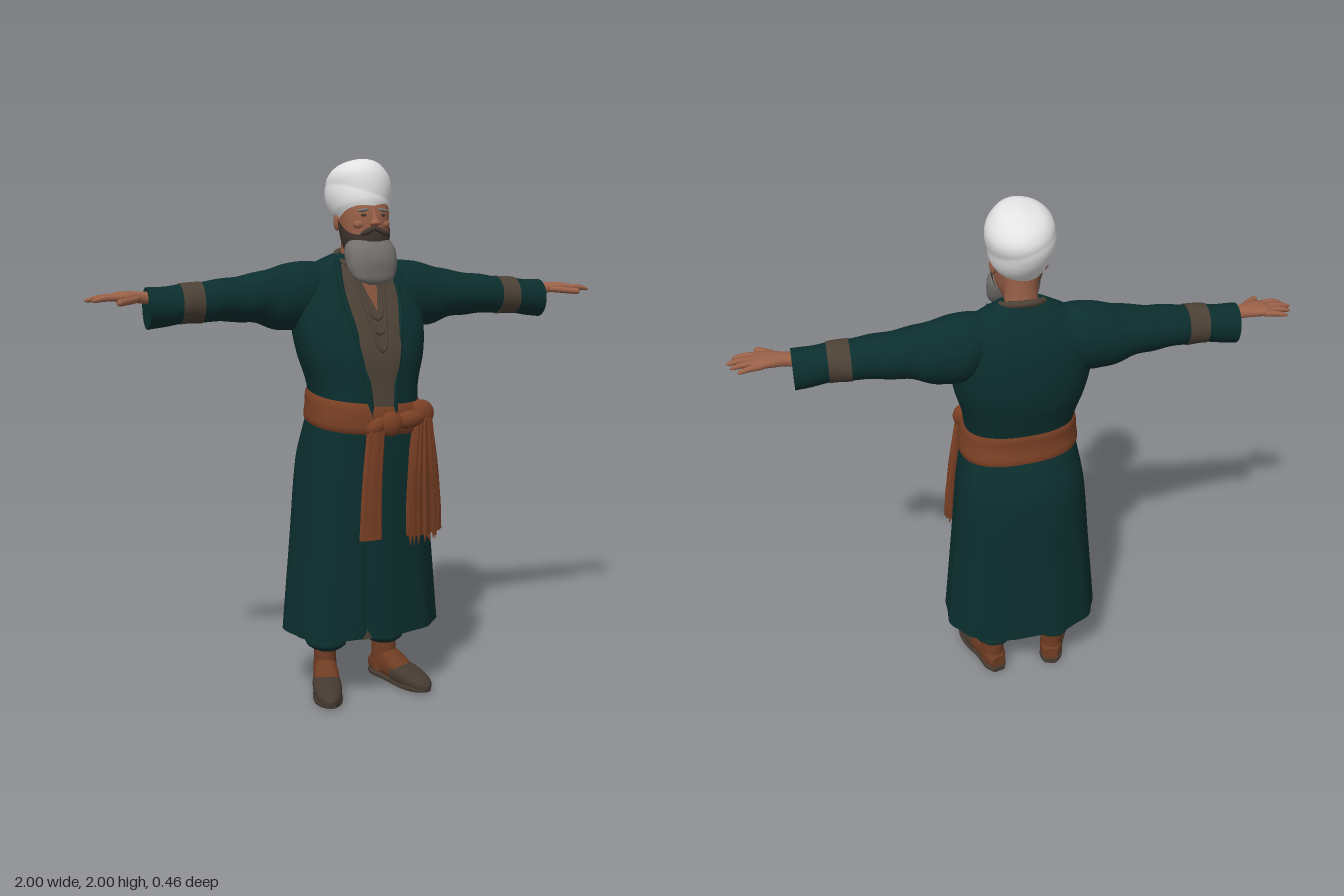
import * as THREE from 'three';

const mat = (name, color, side = THREE.FrontSide) => {
  const m = new THREE.MeshStandardMaterial({ color, side });
  m.name = name;
  return m;
};

// Smooth interpolation through rows [t, cX, cZ, rX, rZ]
function sample(rows, t) {
  let i = 0;
  while (i < rows.length - 2 && t > rows[i + 1][0]) i++;
  const A = rows[i], B = rows[i + 1], P = rows[i - 1] || A, N = rows[i + 2] || B;
  const h = B[0] - A[0], s = Math.min(1, Math.max(0, (t - A[0]) / h)), s2 = s * s, s3 = s2 * s;
  return A.map((a, k) => {
    const ma = (B[k] - P[k]) / (B[0] - P[0]) * h, mb = (N[k] - A[k]) / (N[0] - A[0]) * h;
    return (2 * s3 - 3 * s2 + 1) * a + (s3 - 2 * s2 + s) * ma + (3 * s2 - 2 * s3) * B[k] + (s3 - s2) * mb;
  });
}

// Closed skin over superellipse sections along axis y, x (X->z, Z->y) or z (X->y, Z->x)
function loft(rows, { n = 32, steps = 24, p = 2, axis = 'y', warp = null } = {}) {
  const pos = [], idx = [], t0 = rows[0][0], t1 = rows[rows.length - 1][0];
  const pw = v => Math.sign(v) * Math.abs(v) ** (2 / p);
  const put = (X, Y, Z) => pos.push(...(axis === 'y' ? [X, Y, Z] : axis === 'x' ? [Y, Z, X] : [Z, X, Y]));
  const ring = j => {
    const t = t0 + (t1 - t0) * j / steps, [, cx, cz, rx, rz] = sample(rows, t);
    for (let i = 0; i < n; i++) {
      const a = i / n * Math.PI * 2, k = warp ? warp(a, t) : 1;
      put(cx + Math.max(rx, 0) * k * pw(Math.sin(a)), t, cz + Math.max(rz, 0) * k * pw(Math.cos(a)));
    }
    return [cx, t, cz];
  };
  for (let j = 0; j <= steps; j++) ring(j);
  for (let j = 0; j < steps; j++) for (let i = 0; i < n; i++) {
    const a = j * n + i, b = j * n + (i + 1) % n;
    idx.push(a, b, a + n, b, b + n, a + n);
  }
  for (const j of [0, steps]) {
    const base = pos.length / 3;
    put(...ring(j));
    for (let i = 0; i < n; i++) {
      const a = base + i, b = base + (i + 1) % n;
      j ? idx.push(a, b, base + n) : idx.push(b, a, base + n);
    }
  }
  const g = new THREE.BufferGeometry();
  g.setAttribute('position', new THREE.Float32BufferAttribute(pos, 3));
  g.setIndex(idx);
  g.computeVertexNormals();
  return g;
}

export function createModel() {
  const model = new THREE.Group();
  const robe = mat('dark teal cloth', 0x0c2e2e), sash = mat('rust cloth', 0x793f24);
  const skin = mat('skin', 0x9a6148), white = mat('white cloth', 0xe2e2e2);
  const grey = mat('grey beard', 0x74716e), hair = mat('dark beard', 0x40362e, THREE.DoubleSide);
  const linen = mat('brown linen', 0x4c4136, THREE.DoubleSide);
  const leather = mat('boot leather', 0x6e3c23), sole = mat('shoe leather', 0x453a31);

  const add = (name, geo, m, parent = model) => {
    const mesh = new THREE.Mesh(geo, m);
    mesh.name = name;
    parent.add(mesh);
    return mesh;
  };
  const ball = (name, m, p, s, parent, rz = 0) => {
    const b = add(name, new THREE.SphereGeometry(1, 20, 14), m, parent);
    b.position.set(...p); b.scale.set(...s); b.rotation.z = rz;
    return b;
  };
  const tube = (name, pts, r, m, parent) => add(name, new THREE.TubeGeometry(
    new THREE.CatmullRomCurve3(pts.map(q => new THREE.Vector3(...q))), 32, r, 8), m, parent);

  // Robe: skirt, chest and shoulders in one skin
  const P = 2.4;
  const body = [
    [0.26, 0, -0.012, 0.3, 0.21], [0.6, 0, -0.01, 0.268, 0.21], [0.9, 0, -0.008, 0.24, 0.207],
    [1.03, 0, 0.01, 0.217, 0.187], [1.12, 0, 0.022, 0.2, 0.17], [1.2, 0, 0.012, 0.207, 0.173],
    [1.3, 0, -0.005, 0.235, 0.182], [1.4, 0, -0.027, 0.25, 0.168], [1.5, 0, -0.05, 0.245, 0.138],
    [1.57, 0, -0.062, 0.225, 0.108], [1.62, 0, -0.064, 0.17, 0.078], [1.66, 0, -0.06, 0.085, 0.055]];
  add('robe', loft(body, {
    n: 96, steps: 56, p: P,
    warp: (a, y) => 1 + Math.max(0, (1 - y) / 0.74) * 0.016 * Math.sin(11 * a + 2 * y),
  }), robe);
  const frontZ = (x, y) => {
    const [, , cz, rx, rz] = sample(body, y);
    return cz + rz * Math.max(0, 1 - Math.abs(x / rx) ** P) ** (1 / P);
  };

  // Linen shirt showing between the lapels
  const edges = [[1.08, -0.04, 0.05], [1.2, -0.05, 0.06], [1.4, -0.085, 0.1], [1.52, -0.1, 0.12], [1.635, -0.09, 0.1]];
  const shirt = new THREE.PlaneGeometry(1, 1, 14, 30), sp = shirt.attributes.position;
  for (let i = 0; i < sp.count; i++) {
    const y = 1.355 + sp.getY(i) * 0.54, [, l, r] = sample(edges, y), x = l + (r - l) * (sp.getX(i) + 0.5);
    sp.setXYZ(i, x, y, frontZ(x, y) + 0.007);
  }
  shirt.computeVertexNormals();
  add('shirtFront', shirt, linen);
  for (const k of [1, 2]) tube('lapel', edges.map(e => [e[k], e[0], frontZ(e[k], e[0]) + 0.002]), 0.011, robe);
  for (const [w, low] of [[0.035, 1.32], [0.05, 1.38], [0.045, 1.43]])
    tube('shirtDrape', [-1, -0.8, -0.4, 0, 0.4, 0.8, 1].map(u => {
      const x = u * w + 0.008, y = low + 0.17 * Math.abs(u) ** 2.5;
      return [x, y, frontZ(x, y) + 0.009];
    }), 0.007, linen);
  const vee = new THREE.Shape([[-0.025, 1.56], [0.012, 1.46], [0.035, 1.56]].map(q => new THREE.Vector2(...q)));
  const veeGeo = new THREE.ShapeGeometry(vee), vp = veeGeo.attributes.position;
  for (let i = 0; i < vp.count; i++) vp.setZ(i, frontZ(vp.getX(i), vp.getY(i)) + 0.013);
  add('chestSkin', veeGeo, skin);
  const collar = add('collar', new THREE.TorusGeometry(0.078, 0.013, 10, 36), linen);
  collar.position.set(0, 1.642, -0.035);
  collar.rotation.x = Math.PI / 2 + 0.4;

  // Overlapping front edge of the skirt, with a little lining at the hem
  tube('skirtEdge', [1.02, 0.8, 0.6, 0.4, 0.27].map(y => [-0.075, y, frontZ(-0.075, y) + 0.001]), 0.007, robe);
  const gap = add('hemLining', new THREE.CircleGeometry(0.024, 3, Math.PI / 2), linen);
  gap.position.set(-0.062, 0.276, 0.207);

  // Belt, following the waist and riding higher at the back
  const beltPts = [];
  const belt = loft([[-0.055, 0, 0, 1, 1], [-0.04, 0, 0, 1.04, 1.04], [0, 0, 0, 1.055, 1.055], [0.04, 0, 0, 1.04, 1.04], [0.055, 0, 0, 1, 1]],
    { n: 64, steps: 12, p: P });
  const bp = belt.attributes.position;
  for (let i = 0; i < bp.count; i++) {
    const y = 1.097 + bp.getY(i) - 0.02 * bp.getZ(i) - 0.012 * bp.getX(i);
    const [, , cz, rx, rz] = sample(body, y);
    bp.setXYZ(i, bp.getX(i) * (rx + 0.003), y, cz + bp.getZ(i) * (rz + 0.003));
  }
  belt.computeVertexNormals();
  add('belt', belt, sash);

  // Knot and the two hanging ends
  const knot = new THREE.Group();
  knot.name = 'knot';
  model.add(knot);
  ball('knotCentre', sash, [0.03, 1.06, 0.205], [0.045, 0.046, 0.028], knot);
  ball('knotLoop', sash, [0.105, 1.07, 0.195], [0.065, 0.033, 0.026], knot, 0.1);
  ball('knotLoop', sash, [0.17, 1.085, 0.165], [0.05, 0.05, 0.03], knot, 0.4);
  ball('knotFold', sash, [-0.025, 1.055, 0.2], [0.045, 0.03, 0.025], knot, 0.5);
  const pleat = (k, d) => a => 1 + d * Math.cos(k * a);
  add('narrowSashEnd', loft([[0.64, -0.05, 0.208, 0.042, 0.012], [0.85, -0.045, 0.21, 0.037, 0.013], [1.06, -0.025, 0.2, 0.032, 0.02]],
    { n: 48, p: 3, warp: pleat(8, 0.07) }), sash);
  const wide = new THREE.Group();
  wide.name = 'wideSashEnd';
  wide.position.set(0.175, 0, 0.165);
  wide.rotation.y = 0.4;
  model.add(wide);
  add('wideSashCloth', loft([[0.635, 0.008, 0.005, 0.082, 0.026], [0.75, 0.004, 0.006, 0.078, 0.028], [0.9, -0.005, 0.008, 0.062, 0.03], [1.07, -0.01, 0.01, 0.035, 0.025]],
    { n: 72, p: 2.5, warp: (a, y) => 1 + 0.13 * Math.sin(14 * a + 5 * y) }), sash, wide);
  for (let i = 0; i < 14; i++) {
    const f = add('fringe', new THREE.ConeGeometry(0.008, 0.05, 6), sash, wide);
    f.position.set(-0.066 + i * 0.0114, 0.617 + 0.005 * (i % 3), 0.005 + 0.012 * Math.sin(i * 2.4));
    f.rotation.x = Math.PI;
  }

  // Sleeves, hands, trousers and shoes, built on +x and mirrored
  const sleeve = [
    [0.1, -0.065, 1.545, 0.07, 0.08], [0.2, -0.068, 1.515, 0.105, 0.12], [0.29, -0.067, 1.503, 0.1, 0.117],
    [0.4, -0.06, 1.505, 0.09, 0.088], [0.6, -0.045, 1.497, 0.071, 0.07], [0.7, -0.042, 1.488, 0.066, 0.069], [0.785, -0.042, 1.478, 0.065, 0.073]];
  const wrinkle = (a, x) => 1 + 0.022 * Math.sin(48 * x + 2 * Math.sin(a + 1)) * Math.sin(Math.min(1, Math.max(0, (x - 0.18) / 0.2)) * 1.57);
  for (const s of [1, -1]) {
    const side = new THREE.Group();
    side.name = s > 0 ? 'leftLimbs' : 'rightLimbs';
    side.scale.x = s;
    model.add(side);
    add('sleeve', loft(sleeve, { n: 40, steps: 60, axis: 'x', warp: wrinkle }), robe, side);
    const band = [0.592, 0.63, 0.668].map(x => sample(sleeve, x).map((v, k) => k > 2 ? v + 0.003 : v));
    add('sleeveBand', loft(band, { n: 40, steps: 12, axis: 'x', warp: wrinkle }), linen, side);
    add('palm', loft([[0.75, -0.035, 1.512, 0.03, 0.025], [0.8, -0.035, 1.518, 0.029, 0.021], [0.85, -0.032, 1.522, 0.044, 0.019],
      [0.89, -0.033, 1.522, 0.048, 0.016], [0.915, -0.034, 1.52, 0.042, 0.01]], { n: 20, axis: 'x', p: 2.4 }), skin, side);
    [[-0.073, 0.965, -0.008], [-0.047, 0.988, -0.003], [-0.02, 1, 0], [0.006, 0.982, 0.006]].forEach(([z, tip, spread], i) =>
      add('finger', loft([[0.88, z, 1.521, 0.011, 0.011], [tip - 0.04, z + spread, 1.52, 0.0105, 0.01],
        [tip - 0.01, z + spread * 1.4, 1.514, 0.008, 0.007], [tip, z + spread * 1.5, 1.512, 0.002, 0.002]], { n: 10, steps: 12, axis: 'x' }), skin, side));
    tube('thumb', [[0.82, 1.515, -0.01], [0.85, 1.512, 0.025], [0.875, 1.51, 0.048], [0.895, 1.508, 0.062]], 0.012, skin, side);
    ball('thumbTip', skin, [0.896, 1.508, 0.063], [0.012, 0.012, 0.012], side);

    // Gathered trouser leg
    add('trouserLeg', loft([[0.155, 0.12, -0.062, 0.055, 0.065], [0.175, 0.12, -0.062, 0.078, 0.088], [0.205, 0.12, -0.062, 0.074, 0.085],
      [0.225, 0.12, -0.062, 0.08, 0.092], [0.3, 0.12, -0.06, 0.085, 0.095]], { n: 40, warp: pleat(9, 0.02) }), robe, side);
    // Shoe turned slightly outward
    const shoe = new THREE.Group();
    shoe.name = 'shoe';
    shoe.position.set(0.125, 0, -0.06);
    shoe.rotation.y = 0.27;
    side.add(shoe);
    add('ankle', loft([[0.03, 0, 0, 0.046, 0.056], [0.1, 0, 0, 0.044, 0.054], [0.18, 0, 0, 0.042, 0.05]], { n: 24 }), leather, shoe);
    add('instep', loft([[-0.06, 0.045, 0, 0.03, 0.03], [-0.03, 0.055, 0, 0.045, 0.043], [0.04, 0.065, 0.002, 0.056, 0.046],
      [0.1, 0.05, 0.004, 0.043, 0.05], [0.17, 0.035, 0.004, 0.025, 0.044]], { n: 24, axis: 'z', p: 2.5 }), leather, shoe);
    add('toeCap', loft([[0.09, 0.045, 0.005, 0.041, 0.053], [0.15, 0.04, 0.006, 0.036, 0.054], [0.21, 0.033, 0.006, 0.028, 0.045],
      [0.25, 0.028, 0.005, 0.02, 0.027], [0.263, 0.026, 0.004, 0.008, 0.008]], { n: 24, axis: 'z', p: 2.5 }), sole, shoe);
    add('sole', loft([[-0.065, 0.011, 0, 0.011, 0.026], [-0.03, 0.012, 0, 0.012, 0.045], [0.04, 0.011, 0.002, 0.011, 0.045],
      [0.15, 0.011, 0.006, 0.011, 0.056], [0.22, 0.013, 0.006, 0.011, 0.045], [0.26, 0.017, 0.004, 0.009, 0.016]], { n: 24, axis: 'z', p: 4 }), sole, shoe);
  }

  // Head and neck
  const head = [[1.64, 0, 0.04, 0.05, 0.05], [1.69, 0, 0.038, 0.073, 0.08], [1.75, 0, 0.03, 0.084, 0.092],
    [1.81, 0, 0.018, 0.09, 0.102], [1.88, 0, 0, 0.09, 0.1]];
  add('neck', loft([[1.6, 0, -0.045, 0.066, 0.058], [1.68, 0, -0.035, 0.058, 0.055], [1.78, 0, -0.025, 0.065, 0.065]], { n: 28 }), skin);
  add('head', loft(head, { n: 36, p: 2.2 }), skin);
  const nose = add('nose', loft([[1.757, 0, 0.122, 0.012, 0.01], [1.768, 0, 0.128, 0.019, 0.023], [1.785, 0, 0.123, 0.012, 0.018], [1.82, 0, 0.113, 0.009, 0.01]], { n: 16 }), skin);
  nose.name = 'nose';
  for (const s of [1, -1]) {
    ball('ear', skin, [s * 0.09, 1.775, -0.005], [0.012, 0.032, 0.02]);
    ball('eye', hair, [s * 0.034, 1.797, 0.112], [0.013, 0.006, 0.006]);
    ball('brow', grey, [s * 0.037, 1.815, 0.112], [0.024, 0.006, 0.009], model, -s * 0.15);
    ball('moustache', hair, [s * 0.024, 1.742, 0.124], [0.033, 0.011, 0.013], model, -s * 0.4);
    ball('cheek', skin, [s * 0.045, 1.765, 0.095], [0.025, 0.018, 0.02]);
  }

  // Dark jaw beard, running up to the ears
  const jaw = new THREE.PlaneGeometry(1, 1, 40, 10), jp = jaw.attributes.position;
  for (let i = 0; i < jp.count; i++) {
    const u = jp.getX(i) * 2, a = u * 1.75, top = 1.74 + 0.06 * Math.abs(u) ** 4 - 0.012 * Math.sin(Math.PI * Math.abs(u));
    const y = 1.655 + (top - 1.655) * (jp.getY(i) + 0.5), [, , cz, rx, rz] = sample(head, y);
    const c = Math.cos(a), k = 2 / 2.2;
    jp.setXYZ(i, (rx + 0.008) * Math.sign(u) * Math.abs(Math.sin(a)) ** k, y, cz + (rz + 0.009) * Math.sign(c) * Math.abs(c) ** k);
  }
  jaw.computeVertexNormals();
  add('jawBeard', jaw, hair);
  add('beard', loft([[1.553, 0, 0.135, 0.02, 0.008], [1.57, 0, 0.125, 0.066, 0.028], [1.6, 0, 0.108, 0.087, 0.048], [1.64, 0, 0.094, 0.094, 0.063],
    [1.68, 0, 0.082, 0.092, 0.064], [1.71, 0, 0.075, 0.076, 0.052]], { n: 48, p: 2.3, warp: pleat(16, 0.012) }), grey);

  // Turban, tilted back, with spiralling wraps
  const turban = add('turban', loft([[-0.09, 0, 0, 0.09, 0.108], [-0.06, 0, 0, 0.104, 0.122], [0, 0, 0, 0.114, 0.132], [0.05, 0, 0, 0.111, 0.13],
    [0.085, 0, 0, 0.09, 0.108], [0.107, 0, 0, 0.055, 0.066], [0.116, 0, 0, 0.005, 0.006]],
    { n: 64, steps: 48, warp: (a, y) => 1 + 0.045 * Math.abs(Math.sin(y * 26 + 1.5 * Math.cos(a - 0.7))) }), white);
  turban.position.set(0, 1.872, -0.022);
  turban.rotation.x = -0.35;
  return model;
}
